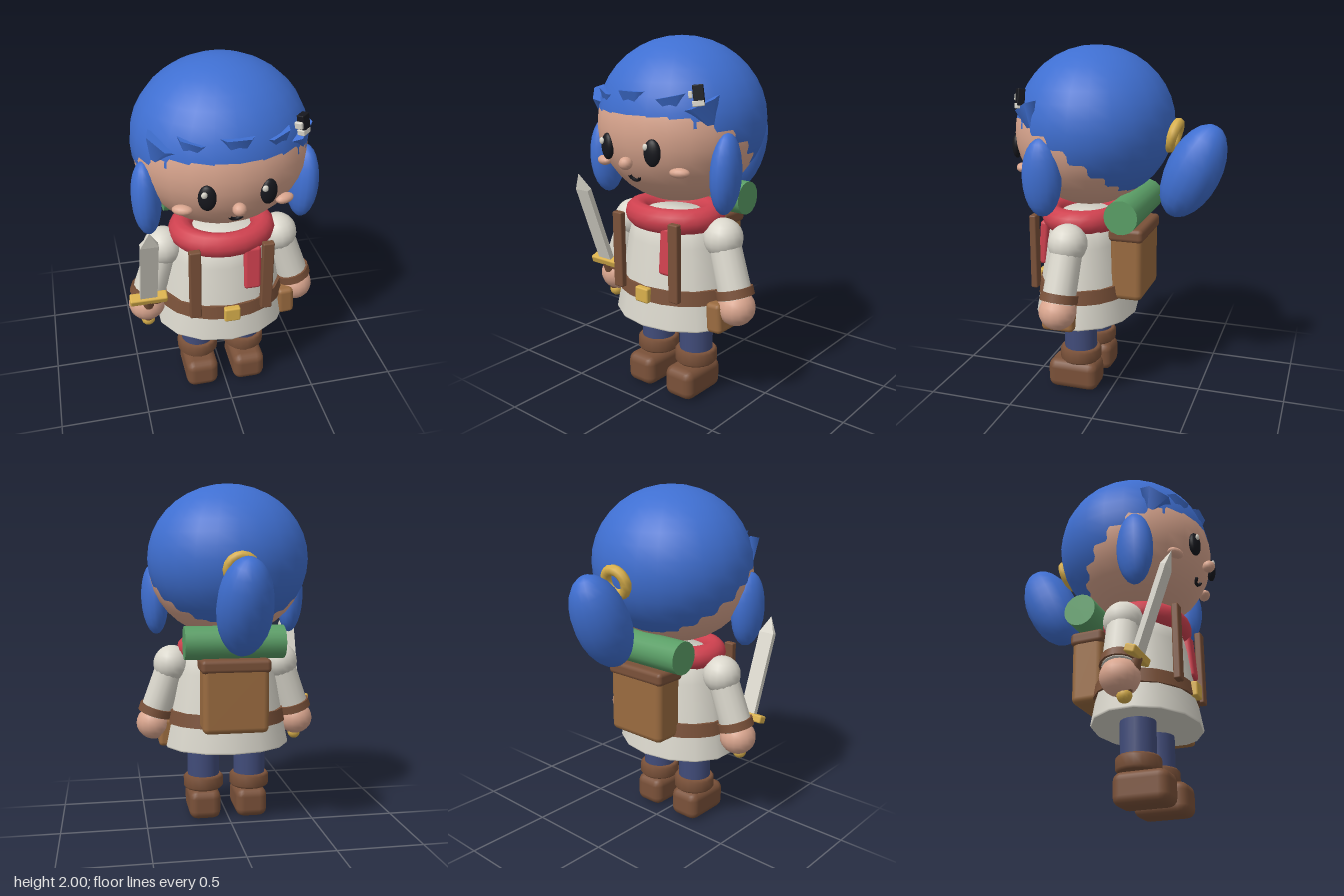
import * as THREE from 'three';
import { RoundedBoxGeometry } from 'three/addons/geometries/RoundedBoxGeometry.js';

const mat = (name, color) => Object.assign(new THREE.MeshStandardMaterial({ color }), { name });
const M = {
  hair: mat('blue hair', 0x3f6fd1),
  skin: mat('skin', 0xd9a58e),
  cream: mat('cream', 0xdad7cc),
  brown: mat('dark leather', 0x7a5139),
  tan: mat('light leather', 0x9a6b40),
  red: mat('red cloth', 0xcf414f),
  green: mat('green cloth', 0x5a9e66),
  navy: mat('navy cloth', 0x414c7a),
  gold: mat('gold', 0xd9b04c),
  black: mat('black', 0x16171d),
};

export function createModel() {
  const root = new THREE.Group();
  root.name = 'adventurer';

  const add = (name, geo, m, pos, rot = [0, 0, 0], scale = [1, 1, 1], parent = root) => {
    const mesh = new THREE.Mesh(geo, m);
    mesh.name = name;
    mesh.position.set(...pos);
    mesh.rotation.set(...rot);
    mesh.scale.set(...scale);
    parent.add(mesh);
    return mesh;
  };
  const ball = (name, m, pos, radii, rot, w = 20, h = 14) =>
    add(name, new THREE.SphereGeometry(1, w, h), m, pos, rot, radii);
  const block = (name, m, size, pos, r, rot, parent) =>
    add(name, new RoundedBoxGeometry(...size, 2, r), m, pos, rot, [1, 1, 1], parent);
  // Cylinder running between two points
  const limb = (name, m, a, b, ra, rb, sides = 16) => {
    const p = new THREE.Vector3(...a), q = new THREE.Vector3(...b);
    const d = q.clone().sub(p);
    const mesh = add(name, new THREE.CylinderGeometry(rb, ra, d.length(), sides), m,
      p.clone().add(q).multiplyScalar(0.5).toArray());
    mesh.quaternion.setFromUnitVectors(new THREE.Vector3(0, 1, 0), d.normalize());
    return mesh;
  };

  // Head and hair: two overlapping ellipsoids make the sloping hairline
  ball('head', M.skin, [0, 1.53, 0.16], [0.46, 0.42, 0.42], [0, 0, 0], 24, 18);
  ball('hair', M.hair, [0, 1.57, 0.13], [0.47, 0.43, 0.443], [0, 0, 0], 24, 18);

  // Fringe of flattened, downward-pointing spikes
  const spike = new THREE.ConeGeometry(0.1, 0.15, 5).rotateX(Math.PI);
  const fringe = (x, y, z, ry, rz, s) =>
    add('fringe', spike, M.hair, [x, y, z], [0, ry, rz], [s, s, s * 0.45], root);
  fringe(0, 1.665, 0.525, 0, 0, 1);
  for (const s of [-1, 1]) {
    fringe(s * 0.22, 1.655, 0.475, s * 0.45, s * 0.2, 0.9);
    fringe(s * 0.37, 1.62, 0.38, s * 0.85, s * 0.4, 1.05);
  }

  // Ponytail with its ring, and the locks at the sides
  ball('ponytail', M.hair, [0, 1.325, -0.43], [0.152, 0.285, 0.155], [-0.44, 0, 0], 16, 12);
  add('hairRing', new THREE.TorusGeometry(0.072, 0.03, 8, 16), M.gold, [0, 1.52, -0.32], [-0.3, 0, 0]);

  // Hair clip: dark bar with pale bands
  const clip = new THREE.Group();
  clip.name = 'hairClip';
  clip.position.set(0.35, 1.735, 0.435);
  clip.rotation.set(-0.15, 0.65, 0.2);
  root.add(clip);
  block('clipBar', M.black, [0.055, 0.09, 0.04], [0.005, 0.005, 0], 0.005, [0, 0, 0], clip);
  block('clipBand', M.cream, [0.06, 0.03, 0.042], [0, -0.04, 0], 0.005, [0, 0, 0], clip);
  block('clipEnd', M.cream, [0.02, 0.035, 0.042], [-0.035, 0.005, 0], 0.005, [0, 0, 0], clip);

  // Face
  for (const s of [-1, 1]) {
    ball('sideLock', M.hair, [s * 0.42, 1.33, 0.295], [0.078, 0.213, 0.107], [0, s * 0.2, -s * 0.04], 16, 12);
    ball('eye', M.black, [s * 0.155, 1.445, 0.552], [0.046, 0.07, 0.027], [0, s * 0.25, 0]);
    ball('eyeHighlight', M.cream, [s * 0.152 - 0.022, 1.475, 0.575], [0.016, 0.018, 0.01], [0, 0, 0], 10, 8);
    ball('cheek', M.skin, [s * 0.265, 1.345, 0.473], [0.054, 0.026, 0.033], [0, s * 0.4, 0], 14, 10);
  }
  ball('nose', M.skin, [0, 1.378, 0.582], [0.036, 0.034, 0.036], [0, 0, 0], 14, 10);
  add('mouth', new THREE.TorusGeometry(0.035, 0.009, 6, 14, Math.PI * 0.9), M.black,
    [0, 1.308, 0.522], [0.5, 0, Math.PI * 1.05]);

  // Tunic, belt and buckle share an oval section
  const oval = [1, 1, 0.78];
  const tunic = [[0, 0.45], [0.375, 0.45], [0.38, 0.46], [0.345, 0.62], [0.295, 0.9], [0.25, 1.06], [0, 1.06]];
  // doubled points keep the hem edge crisp
  tunic.splice(1, 0, [0.374, 0.45]);
  add('tunic', new THREE.LatheGeometry(tunic.map(p => new THREE.Vector2(...p)), 14), M.cream,
    [0, 0, 0.19], [0, 0, 0], oval);
  add('belt', new THREE.CylinderGeometry(0.348, 0.362, 0.078, 20), M.brown, [0, 0.635, 0.19], [0, 0, 0], oval);
  block('buckle', M.gold, [0.09, 0.085, 0.04], [0, 0.633, 0.472], 0.01);

  // Scarf and its hanging tail
  add('scarf', new THREE.TorusGeometry(0.228, 0.07, 12, 24).rotateX(Math.PI / 2), M.red,
    [0, 1.04, 0.2], [0, 0, 0], [1, 1, 0.83]);
  block('scarfTail', M.red, [0.095, 0.26, 0.05], [0.125, 0.885, 0.405], 0.018, [-0.08, 0, 0]);

  for (const s of [-1, 1]) {
    // Pack straps
    block('strap', M.brown, [0.064, 0.435, 0.04], [s * 0.2, 0.843, 0.442], 0.008);

    // Arms
    const shoulder = [s * 0.33, 0.95, 0.19], wrist = [s * 0.435, 0.64, 0.212];
    ball('shoulder', M.cream, shoulder, [0.11, 0.11, 0.11], [0, 0, 0], 16, 12);
    limb('sleeve', M.cream, shoulder, wrist, 0.088, 0.093);
    limb('cuff', M.brown, [s * 0.418, 0.69, 0.208], [s * 0.432, 0.645, 0.211], 0.104, 0.106);
    ball('hand', M.skin, [s * 0.44, 0.588, 0.215], [0.105, 0.1, 0.105], [0, 0, 0], 16, 12);

    // Legs and boots
    add('leg', new THREE.CylinderGeometry(0.096, 0.096, 0.36, 18), M.navy, [s * 0.143, 0.4, 0.19]);
    const cuff = [[0, -0.042], [0.108, -0.042], [0.121, -0.028], [0.121, 0.028], [0.108, 0.042], [0, 0.042]];
    add('bootCuff', new THREE.LatheGeometry(cuff.map(p => new THREE.Vector2(...p)), 18), M.brown,
      [s * 0.143, 0.22, 0.19]);
    block('boot', M.brown, [0.192, 0.178, 0.305], [s * 0.143, 0.089, 0.222], 0.05);
  }

  // Belt pouch
  block('pouch', M.tan, [0.095, 0.17, 0.19], [0.363, 0.535, 0.235], 0.025, [0, 0, 0.06]);

  // Backpack with lid and rolled blanket
  block('backpack', M.tan, [0.38, 0.4, 0.185], [0, 0.79, -0.098], 0.035);
  block('backpackLid', M.brown, [0.4, 0.08, 0.2], [0, 0.977, -0.097], 0.025);
  add('blanketRoll', new THREE.CylinderGeometry(0.095, 0.095, 0.57, 18), M.green,
    [0, 1.105, -0.097], [0, 0, Math.PI / 2]);

  // Sword leaning forward in the right hand
  const sword = new THREE.Group();
  sword.name = 'sword';
  sword.position.set(-0.44, 0.69, 0.31);
  sword.rotation.x = 0.34;
  root.add(sword);
  const part = (name, geo, m, y, scale) => add(name, geo, m, [0, y, 0], [0, 0, 0], scale, sword);
  part('blade', new THREE.BoxGeometry(0.095, 0.49, 0.03), M.cream, 0.25);
  const tip = new THREE.ConeGeometry(0.095 / Math.SQRT2, 0.1, 4).rotateY(Math.PI / 4).toNonIndexed();
  tip.computeVertexNormals();
  part('bladeTip', tip, M.cream, 0.545, [1, 1, 0.32]);
  block('guard', M.gold, [0.21, 0.045, 0.06], [0, 0, 0], 0.01, [0, 0, 0], sword);
  part('grip', new THREE.CylinderGeometry(0.032, 0.032, 0.2, 12), M.brown, -0.11);
  part('pommel', new THREE.SphereGeometry(0.04, 12, 10), M.gold, -0.215);

  return root;
}
